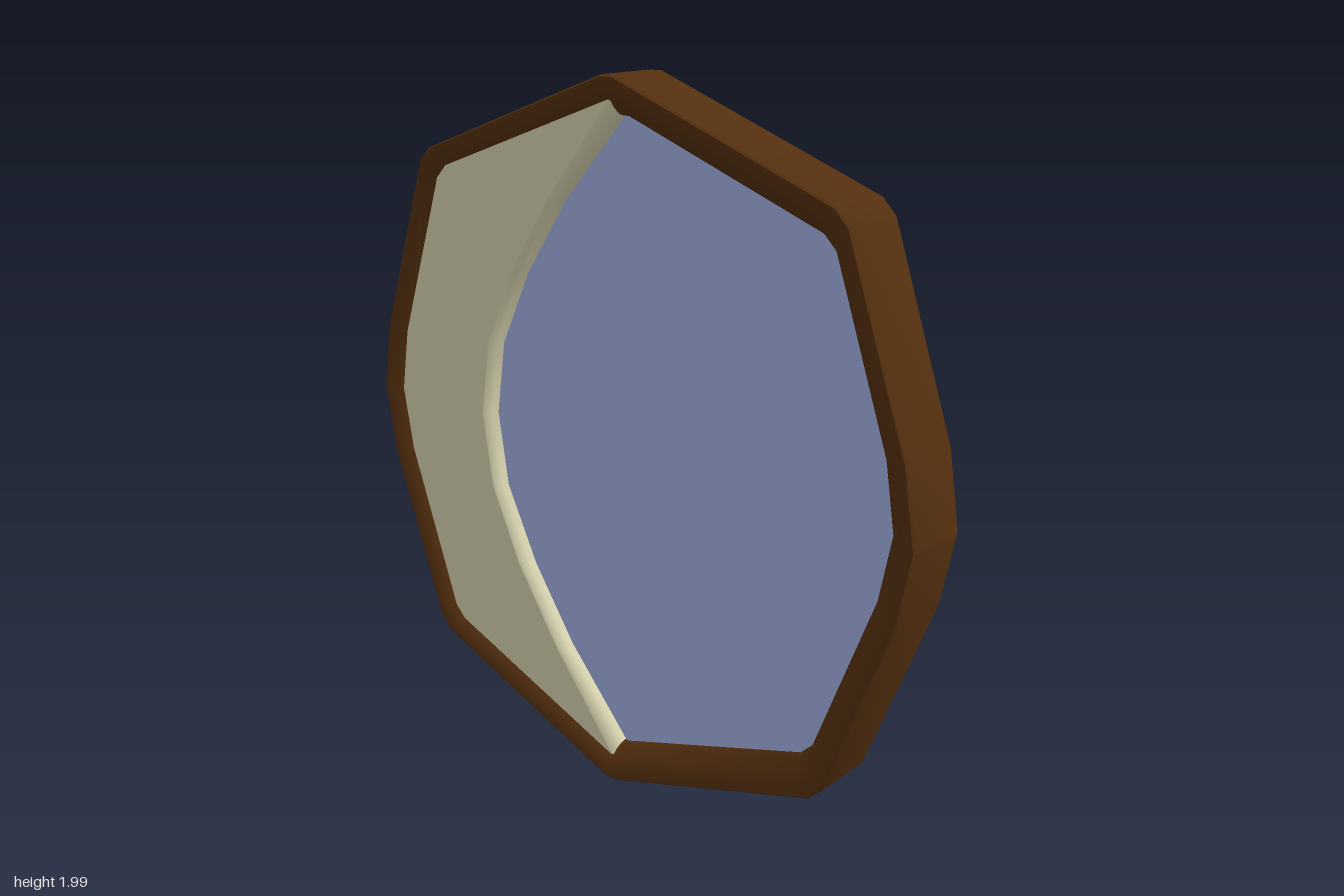
import * as THREE from 'three';
import { toCreasedNormals } from 'three/addons/utils/BufferGeometryUtils.js';

const CY = 1; // height of the centre

// Right half of the outline, top to bottom, relative to the centre
const quarter = [[0.02, 0.995], [0.695, 0.755], [0.735, 0.715], [0.92, 0.2]];
const half = [...quarter, [0.955, 0], ...quarter.map(([x, y]) => [x, -y]).reverse()];
const outline = [...half, ...half.map(([x, y]) => [-x, -y])];
const scaled = (pts, s) => pts.map(([x, y]) => [x * s, y * s]);

// Surface through rows of [x, y, z] points
function loft(rows, closed, crease) {
  const n = rows[0].length, index = [];
  for (let i = 0; i < rows.length - 1; i++) {
    for (let j = 0; j < (closed ? n : n - 1); j++) {
      const k = (j + 1) % n, a = i * n + j, b = i * n + k, c = a + n, d = b + n;
      index.push(a, c, b, b, c, d);
    }
  }
  const g = new THREE.BufferGeometry();
  g.setAttribute('position', new THREE.Float32BufferAttribute(rows.flat(2), 3));
  g.setIndex(index);
  return toCreasedNormals(g, crease);
}

function slab(pts, halfDepth) {
  const shape = new THREE.Shape(pts.map(([x, y]) => new THREE.Vector2(x, y)));
  const g = new THREE.ExtrudeGeometry(shape, { depth: halfDepth * 2, bevelEnabled: false });
  return g.translate(0, 0, -halfDepth);
}

export function createModel() {
  const group = new THREE.Group();
  const add = (name, geometry, color, side = THREE.FrontSide) => {
    const mesh = new THREE.Mesh(geometry, new THREE.MeshStandardMaterial({ color, side }));
    mesh.name = name;
    mesh.position.y = CY;
    group.add(mesh);
  };
  const brown = 0x55300f, cream = 0xd8d4b0, blue = 0xa4b2e4;

  // Frame: rim section as [scale, z], swept around the outline
  const front = [[1, 0.09], [0.995, 0.095], [0.965, 0.093], [0.937, 0.07], [0.91, 0.047], [0.895, 0.028]];
  const section = [...front, ...front.map(([s, z]) => [s, -z]).reverse(), front[0]];
  add('frame', loft(section.map(([s, z]) => scaled(outline, s).map(([x, y]) => [x, y, z])), true, 0.8), brown);

  // Recessed panel
  add('panel', slab(scaled(outline, 0.91), 0.03), blue);

  // Raised crescent: inner curves at its face (top) and at the panel (foot)
  const mirrorY = (pts) => [...pts, ...pts.slice(0, -1).map(([x, y]) => [x, -y]).reverse()];
  const top = mirrorY([[-0.01, 0.937], [-0.24, 0.66], [-0.39, 0.44], [-0.495, 0.22], [-0.53, 0]]);
  const foot = mirrorY([[0.005, 0.89], [-0.21, 0.655], [-0.36, 0.44], [-0.47, 0.22], [-0.505, 0]]);
  const outer = scaled(half.map(([x, y]) => [-x, -y]), 0.94); // bottom to top on the -x side
  add('crescent', slab([...top, ...outer], 0.07), cream);

  // Sloping inner edge of the crescent on both faces
  const steps = [[0, 0.07], [0.45, 0.064], [0.85, 0.048], [1, 0.028]];
  for (const s of [1, -1]) {
    const rows = steps.map(([t, z]) => top.map(([x, y], i) => [
      x + (foot[i][0] - x) * t, y + (foot[i][1] - y) * t, z * s]));
    if (s > 0) rows.forEach((r) => r.reverse());
    add(s > 0 ? 'crescentEdgeFront' : 'crescentEdgeBack', loft(rows, false, 1), cream, THREE.DoubleSide);
  }
  return group;
}
